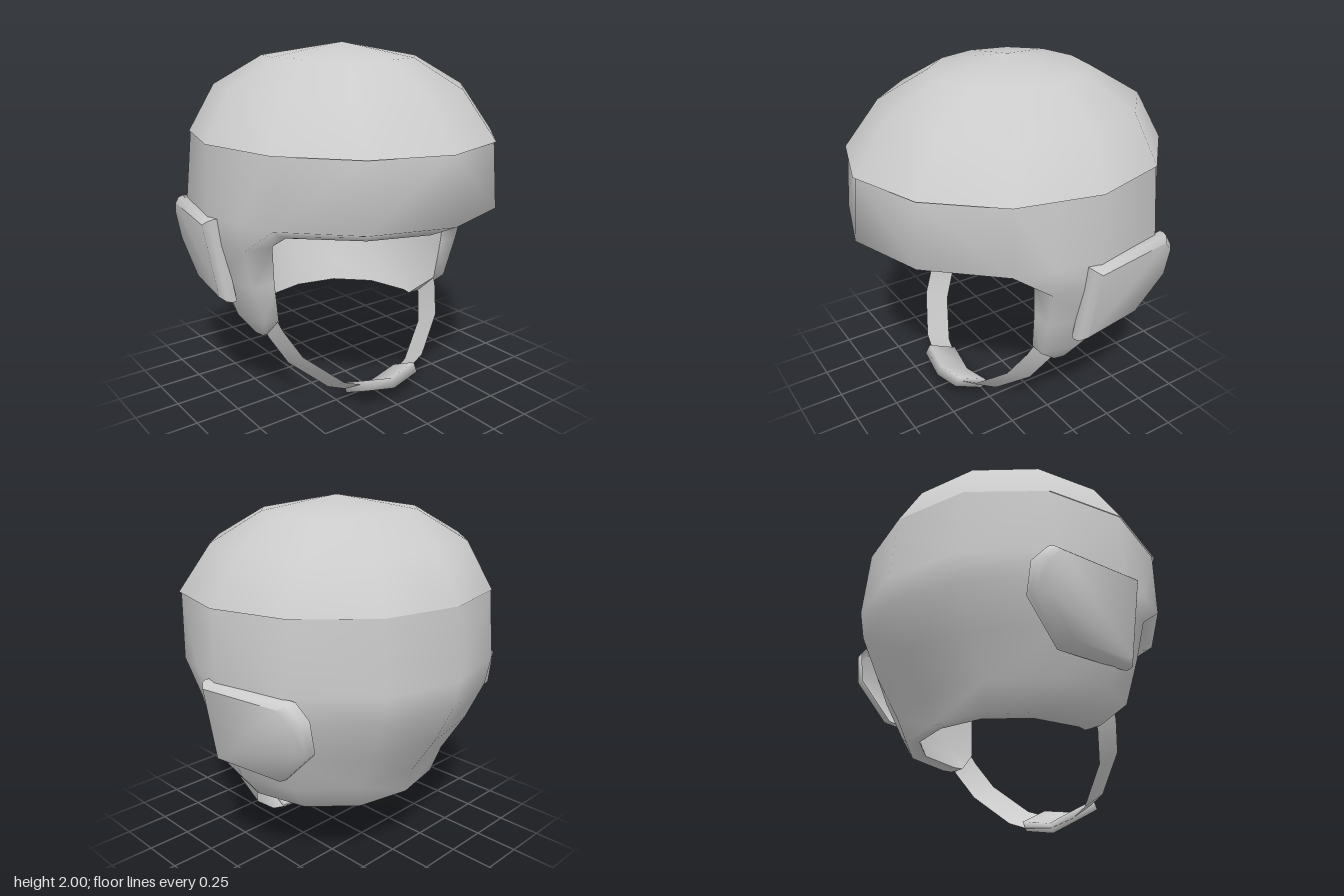
import * as THREE from 'three';
import { mergeVertices, toCreasedNormals } from 'three/addons/utils/BufferGeometryUtils.js';

const material = new THREE.MeshStandardMaterial({ color: 0xcccccc, side: THREE.DoubleSide });

// Collects triangles and quads (counter-clockwise corners) into one geometry.
function surface() {
  const tris = [];
  const tri = (a, b, c) => tris.push([a, b, c]);
  const quad = (a, b, c, d) => { tri(a, b, c); tri(a, c, d); };
  const mirrorX = () => {
    const flip = ([x, y, z]) => [-x, y, z];
    for (const [a, b, c] of [...tris]) tri(flip(a), flip(c), flip(b));
  };
  const build = (crease) => {
    const same = (p, q) => p.every((v, i) => Math.abs(v - q[i]) < 1e-6);
    const kept = tris.filter(([a, b, c]) => !same(a, b) && !same(b, c) && !same(a, c));
    const flat = new THREE.BufferGeometry();
    flat.setAttribute('position', new THREE.Float32BufferAttribute(kept.flat(2), 3));
    if (crease) return toCreasedNormals(flat, crease);
    const smooth = mergeVertices(flat, 1e-4);
    smooth.computeVertexNormals();
    return smooth;
  };
  return { tri, quad, mirrorX, build };
}

// Joins neighbouring sections, each a closed ring of points.
function loft(s, rings) {
  for (let i = 0; i < rings.length - 1; i++) {
    const A = rings[i], B = rings[i + 1], n = A.length;
    for (let k = 0; k < n; k++) s.quad(A[k], A[(k + 1) % n], B[(k + 1) % n], B[k]);
  }
}

// Joins neighbouring columns along the chosen rows.
function strip(s, columns, rows) {
  for (let i = 0; i < columns.length - 1; i++)
    for (let k = 0; k < rows.length - 1; k++) {
      const a = rows[k], b = rows[k + 1], L = columns[i], R = columns[i + 1];
      s.quad(L[a], L[b], R[b], R[a]);
    }
}

// Point at an angle from the front, on an ellipse at height y.
function ringPoint(deg, [y, rx, rz]) {
  const a = THREE.MathUtils.degToRad(deg);
  const sx = deg === 180 ? 0 : Math.sin(a);
  return [rx * sx, y, rz * Math.cos(a) - 0.03 * sx];
}

function named(name, geometry) {
  const mesh = new THREE.Mesh(geometry, material);
  mesh.name = name;
  return mesh;
}

// Twelve-sided crown, its rim slightly higher at the back
function crownGeometry() {
  const s = surface();
  const levels = [[2, 0, 0], [1.927, 0.43, 0.43], [1.77, 0.7, 0.705], [1.515, 0.855, 0.875]];
  const shift = [-0.03, -0.03, -0.025, 0.005];
  const column = (deg) => levels.map((level, k) => {
    if (k === 0) return [0, 2, -0.03];
    const [x, y, z] = ringPoint(deg, level);
    return [x, y - 0.015 * z, z + shift[k]];
  });
  strip(s, [0, 30, 60, 90, 120, 150, 180].map(column), [0, 1, 2, 3]);
  s.mirrorX();
  return s.build();
}

// Lower shell and its lining, with a face opening
function shellGeometries() {
  const shell = surface(), lining = surface();
  const levels = [ // y, x radius, z radius: down the outside, up the inside
    [1.52, 0.845, 0.867], [1.15, 0.86, 0.9], [1.0, 0.845, 0.87], [0.78, 0.79, 0.76],
    [0.56, 0.71, 0.615], [0.42, 0.6, 0.58], [0.42, 0.5, 0.52], [0.56, 0.56, 0.57],
    [0.78, 0.6, 0.66], [1.0, 0.62, 0.72], [1.07, 0.65, 0.73],
    [1.5, 0.66, 0.7], [1.72, 0.48, 0.5], [1.85, 0, 0]];
  const column = (deg) => levels.map((level, k) => {
    if (!level[1]) return [0, level[0], 0];
    const [x, y, z] = ringPoint(deg, level);
    if (k === 0) return [x, y - 0.015 * z, z];
    const bulge = deg === 120 && k < 4 ? 0.03 : 0; // fuller behind the ears
    return [x + bulge, y, z + bulge / 2];
  });
  const front = [0, 30, 60].map(column);
  const brim = front[2];
  brim[1] = [0.735, 1.14, 0.41];
  brim[10] = [0.62, 1.07, 0.34];
  const cheek = [
    [0.785, 1.515, 0.2], [0.798, 1.145, 0.2], [0.78, 0.99, 0.2], [0.73, 0.78, 0.185],
    [0.655, 0.55, 0.17], [0.59, 0.42, 0.03], [0.49, 0.42, 0.03], [0.57, 0.55, 0.17],
    [0.6, 0.78, 0.185], [0.615, 0.99, 0.2], [0.62, 1.07, 0.2],
    [0.63, 1.5, 0.2], [0.45, 1.72, 0.12], [0, 1.85, 0]];
  const sides = [cheek, ...[90, 120, 150, 180].map(column)];
  // outside, brim underside and lower rim
  strip(shell, front, [0, 1, 10]);
  strip(shell, [brim, cheek], [0, 1]);
  strip(shell, sides, [0, 1, 2, 3, 4, 5, 6]);
  // brim to cheek transition
  shell.tri(brim[1], cheek[2], cheek[1]);
  shell.quad(brim[1], brim[10], cheek[9], cheek[2]);
  // front edge of the cheek
  for (let k = 2; k < 5; k++) shell.quad(cheek[11 - k], cheek[10 - k], cheek[k + 1], cheek[k]);
  // inside
  strip(lining, [...front, cheek], [10, 11, 12, 13]);
  lining.tri(brim[10], cheek[9], cheek[10]);
  strip(lining, sides, [6, 7, 8, 9, 10, 11, 12, 13]);
  shell.mirrorX();
  lining.mirrorX();
  return [shell.build(), lining.build()];
}

// Thin bevelled pads over both ears, leaning with the shell
function earPadsGeometry() {
  const s = surface();
  const outline = [[0.05, 0.67], [-0.38, 0.67], [-0.59, 0.88], [-0.59, 1.06], [-0.52, 1.145], [0.04, 1.14]];
  const cz = -0.27, cy = 0.91;
  const ring = (scale, depth) => outline.map(([z, y]) => {
    const pz = cz + (z - cz) * scale, py = cy + (y - cy) * scale;
    return [0.9 + 0.18 * (py - 1.09) + 0.15 * (pz + 0.03) - depth, py, pz];
  });
  const face = ring(0.87, 0);
  loft(s, [ring(0.99, 0.085), ring(1, 0.06), ring(0.97, 0.03), face]);
  for (let k = 1; k < 5; k++) s.tri(face[0], face[k], face[k + 1]);
  s.mirrorX();
  return s.build(0.95);
}

// Flat ribbon hanging under the chin
function strapGeometry() {
  const s = surface();
  const path = [[0.575, 0.5], [0.56, 0.45], [0.49, 0.31], [0.29, 0.14], [0.18, 0.1], [0, 0.075]];
  const edge = ([x, y], side) => [x, y + 0.047 * side, 0.1 + (0.48 - y) * 0.605 + 0.077 * side];
  for (let i = 0; i < path.length - 1; i++)
    s.quad(edge(path[i + 1], 1), edge(path[i + 1], -1), edge(path[i], -1), edge(path[i], 1));
  s.mirrorX();
  return s.build();
}

// Bent chin cup around the middle of the strap
function chinCupGeometry() {
  const s = surface();
  const section = (x, y, z) => [[1, -1], [1, 1], [-1, 1], [-1, -1]].map(
    ([w, d]) => [x, y + 0.045 * w - 0.025 * d, z + 0.09 * w + 0.015 * d]);
  const rings = [section(-0.19, 0.11, 0.345), section(0, 0.075, 0.365), section(0.19, 0.11, 0.345)];
  loft(s, rings.toReversed());
  s.quad(...rings[0]);
  s.quad(...rings[2].toReversed());
  return s.build();
}

export function createModel() {
  const helmet = new THREE.Group();
  helmet.name = 'helmet';
  const [shell, lining] = shellGeometries();
  helmet.add(
    named('crown', crownGeometry()),
    named('shell', shell),
    named('lining', lining),
    named('earPads', earPadsGeometry()),
    named('chinStrap', strapGeometry()),
    named('chinCup', chinCupGeometry()));
  return helmet;
}
